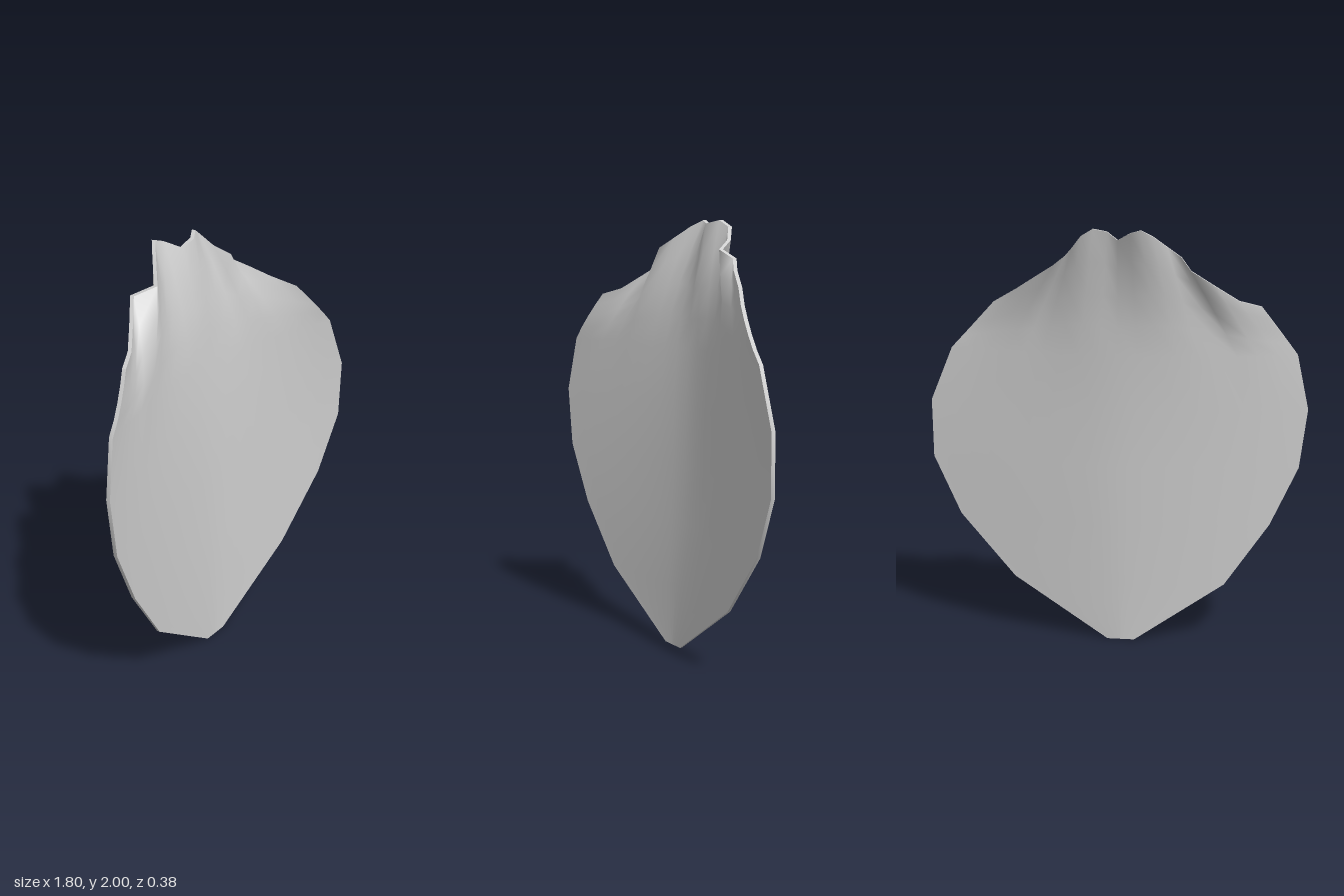
import * as THREE from 'three';
import { toCreasedNormals } from 'three/addons/utils/BufferGeometryUtils.js';

// Blade rows: y, left x, right x, centre z, left edge z, right edge z
const ROWS = [
  [0, -0.10, 0.03, 0.07, 0.07, 0.07],
  [0.29, -0.53, 0.49, 0.06, 0.105, 0.11],
  [0.59, -0.74, 0.76, 0.045, 0.135, 0.145],
  [0.87, -0.87, 0.895, 0.025, 0.15, 0.17],
  [1.15, -0.905, 0.90, 0.01, 0.15, 0.175],
  [1.41, -0.85, 0.79, -0.02, 0.13, 0.16],
];

// Pleated upper rim, from right (-x) to left (+x)
const TOP = [
  [-0.68, 1.64, 0.07], [-0.58, 1.67, 0.02], [-0.48, 1.74, -0.05], [-0.37, 1.82, -0.13],
  [-0.32, 1.87, -0.04], [-0.26, 1.92, -0.09], [-0.2, 1.97, -0.14], [-0.15, 2, -0.18],
  [-0.1, 1.985, -0.165], [-0.04, 1.95, -0.11], [0.01, 1.985, -0.09], [0.07, 2, -0.125],
  [0.12, 1.97, -0.14], [0.17, 1.91, -0.10], [0.21, 1.87, -0.03], [0.26, 1.83, -0.07],
  [0.34, 1.78, -0.02], [0.45, 1.71, 0.03], [0.57, 1.64, 0.1],
];
const COLS = TOP.length;
const lerp = THREE.MathUtils.lerp;

// Middle surface: curved rows, then rows that blend into the pleated rim
function buildGrid() {
  const grid = ROWS.map(([y, xl, xr, zc, zl, zr]) => TOP.map((_, j) => {
    const u = (2 * j) / (COLS - 1) - 1;
    const ze = u < 0 ? zl : zr;
    return [lerp(xl, xr, (u + 1) / 2), y, zc + (ze - zc) * Math.abs(u) ** 1.5];
  }));
  const base = grid[grid.length - 1];
  for (const t of [0.25, 0.5, 0.75, 1]) {
    grid.push(base.map((p, j) => [
      lerp(p[0], TOP[j][0], t), lerp(p[1], TOP[j][1], t), lerp(p[2], TOP[j][2], t ** 1.5),
    ]));
  }
  return grid;
}

// The blade is thinner at its lower tip
const shift = ([x, y, z], side) => [x, y, z + side * (0.005 + 0.005 * Math.min(1, y / 0.6))];

function geometryFrom(points, index) {
  const g = new THREE.BufferGeometry();
  g.setAttribute('position', new THREE.Float32BufferAttribute(points.flat(), 3));
  g.setIndex(index);
  g.computeVertexNormals();
  return g;
}

// One smooth face of the blade: side 1 is the front, -1 the back
function sheet(grid, side) {
  const index = [];
  for (let i = 0; i < grid.length - 1; i++) {
    for (let j = 0; j < COLS - 1; j++) {
      const a = i * COLS + j, b = a + 1, c = a + COLS, d = c + 1;
      if (side > 0) index.push(a, b, d, a, d, c);
      else index.push(a, d, b, a, c, d);
    }
  }
  return geometryFrom(grid.flat().map((p) => shift(p, side)), index);
}

// Narrow strip closing the outline between front and back
function rim(grid) {
  const last = grid.length - 1;
  const loop = [
    ...grid[0].slice(0, -1),
    ...grid.slice(0, last).map((r) => r[COLS - 1]),
    ...grid[last].slice(1).reverse(),
    ...grid.slice(1).map((r) => r[0]).reverse(),
  ];
  const points = [], index = [];
  loop.forEach((p, i) => {
    points.push(shift(p, -1), shift(p, 1));
    const a = 2 * i, b = 2 * ((i + 1) % loop.length);
    index.push(a, b, b + 1, a, b + 1, a + 1);
  });
  return toCreasedNormals(geometryFrom(points, index), 0.6);
}

export function createModel() {
  const petalGrey = new THREE.MeshStandardMaterial({ color: 0xcccccc });
  petalGrey.name = 'petalGrey';
  const model = new THREE.Group();
  model.name = 'petal';
  const grid = buildGrid();
  const add = (name, geometry) => {
    const mesh = new THREE.Mesh(geometry, petalGrey);
    mesh.name = name;
    model.add(mesh);
  };
  add('petalFront', sheet(grid, 1));
  add('petalBack', sheet(grid, -1));
  add('petalRim', rim(grid));
  return model;
}
